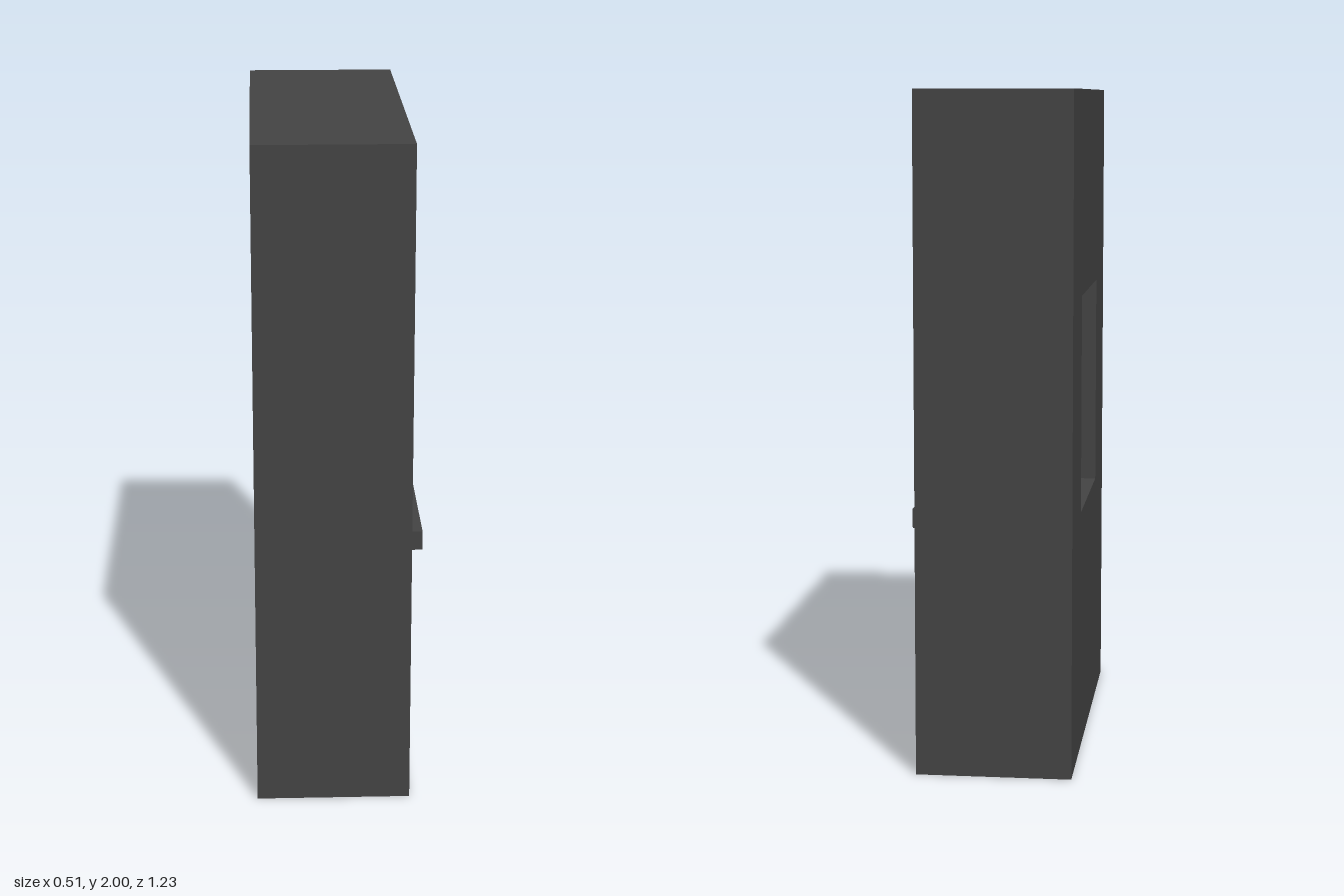
import * as THREE from 'three';

const material = new THREE.MeshStandardMaterial({ color: 0x444444, flatShading: true });

// Rectangle path, symmetric about the middle, between heights y0 and y1
function rect(path, halfWidth, y0, y1) {
  path.moveTo(-halfWidth, y0);
  path.lineTo(halfWidth, y0);
  path.lineTo(halfWidth, y1);
  path.lineTo(-halfWidth, y1);
  path.closePath();
  return path;
}

// Rectangular ring facing +x; outer and inner are [halfWidth, y0, y1]
function ring(name, x0, x1, outer, inner) {
  const shape = rect(new THREE.Shape(), ...outer);
  shape.holes.push(rect(new THREE.Path(), ...inner));
  const geometry = new THREE.ExtrudeGeometry(shape, { depth: x1 - x0, bevelEnabled: false });
  geometry.rotateY(Math.PI / 2).translate(x0, 0, 0);
  const mesh = new THREE.Mesh(geometry, material);
  mesh.name = name;
  return mesh;
}

// Box centred on z = 0
function slab(name, x0, x1, halfWidth, y0, y1) {
  const mesh = new THREE.Mesh(new THREE.BoxGeometry(x1 - x0, y1 - y0, halfWidth * 2), material);
  mesh.position.set((x0 + x1) / 2, (y0 + y1) / 2, 0);
  mesh.name = name;
  return mesh;
}

// Sash: a ring of rails and stiles around a pane
function sash(name, x0, x1, outer, inner) {
  const group = new THREE.Group();
  group.name = name;
  const mid = (x0 + x1) / 2;
  group.add(ring(name + 'Rails', x0, x1, outer, inner));
  group.add(slab(name + 'Pane', mid - 0.003, mid + 0.003, ...inner));
  return group;
}

export function createModel() {
  const model = new THREE.Group();
  model.name = 'wallWithWindow';

  // Thick wall with a window opening
  const opening = [0.298, 0.735, 1.39];
  model.add(ring('wall', -0.257, 0.202, [0.615, 0, 2], opening));

  // Frame set back from the outer face
  const frameInner = [0.272, 0.764, 1.366];
  model.add(ring('windowFrame', 0.08, 0.152, opening, frameInner));

  // Upper sash sits outside the lower one, overlapping at the meeting rail
  model.add(sash('upperSash', 0.106, 0.13, [0.272, 1.005, 1.366], [0.26, 1.029, 1.353]));
  model.add(sash('lowerSash', 0.082, 0.106, [0.272, 0.764, 1.029], [0.254, 0.78, 1.005]));

  // Projecting sill
  model.add(slab('sill', 0.202, 0.257, 0.298, 0.675, 0.735));

  return model;
}
